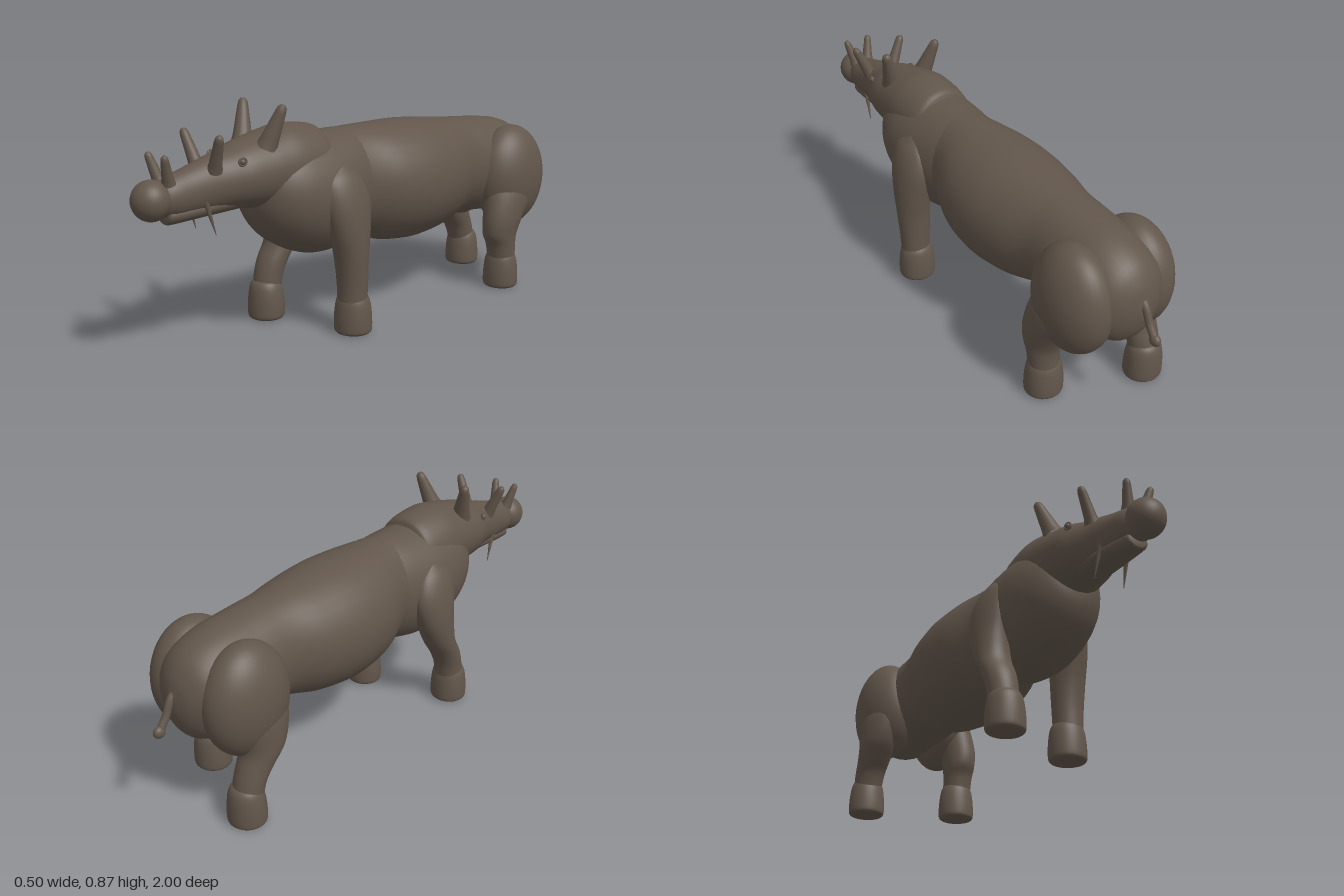
import * as THREE from 'three';

// Smooth skin through elliptical rings; sections are [cx, cy, cz, ru, rv] in rising order along the axis
function loft(sections, axis, steps = 5, sides = 36) {
  const centre = new THREE.CatmullRomCurve3(sections.map(s => new THREE.Vector3(s[0], s[1], s[2])), false, 'catmullrom');
  const radius = new THREE.CatmullRomCurve3(sections.map(s => new THREE.Vector3(s[3], s[4], 0)), false, 'catmullrom');
  const rings = (sections.length - 1) * steps;
  const pos = [], index = [];
  for (let i = 0; i <= rings; i++) {
    const c = centre.getPoint(i / rings), r = radius.getPoint(i / rings);
    for (let j = 0; j < sides; j++) {
      const a = j / sides * Math.PI * 2, u = r.x * Math.cos(a), v = r.y * Math.sin(a);
      if (axis === 'z') pos.push(c.x + u, c.y + v, c.z);
      else pos.push(c.x + u, c.y, c.z - v);
    }
  }
  for (let i = 0; i < rings; i++) for (let j = 0; j < sides; j++) {
    const k = (j + 1) % sides;
    const a = i * sides + j, b = i * sides + k, c = a + sides, d = b + sides;
    index.push(a, b, d, a, d, c);
  }
  // end caps
  const first = pos.length / 3, start = centre.getPoint(0), end = centre.getPoint(1);
  pos.push(start.x, start.y, start.z, end.x, end.y, end.z);
  for (let j = 0; j < sides; j++) {
    const k = (j + 1) % sides;
    index.push(first, k, j, first + 1, rings * sides + j, rings * sides + k);
  }
  const g = new THREE.BufferGeometry();
  g.setAttribute('position', new THREE.Float32BufferAttribute(pos, 3));
  g.setIndex(index);
  g.computeVertexNormals();
  return g;
}

// Body profile rows [z, top, bottom, half width]
const bodyLoft = rows => loft(rows.map(([z, t, b, w]) => [0, (t + b) / 2, z, w, (t - b) / 2]), 'z');
// Limb rows [y, z, rx, rz, x]
const limbLoft = (rows, side) => loft(rows.map(([y, z, rx, rz, x = 0.176]) => [side * x, y, z, rx, rz]), 'y');

export function createModel() {
  const model = new THREE.Group();
  const hide = new THREE.MeshStandardMaterial({ color: 0x62564b });
  hide.name = 'brown hide';
  const add = (name, geometry, x = 0, y = 0, z = 0) => {
    const mesh = new THREE.Mesh(geometry, hide);
    mesh.name = name;
    mesh.position.set(x, y, z);
    model.add(mesh);
    return mesh;
  };
  const ball = (name, x, y, z, rx, ry = rx, rz = rx) => {
    const mesh = add(name, new THREE.SphereGeometry(1, 36, 24), x, y, z);
    mesh.scale.set(rx, ry, rz);
    return mesh;
  };
  // Tapered horn with a rounded tip between two points
  const spike = (name, from, to, r0, r1) => {
    const a = new THREE.Vector3(...from), b = new THREE.Vector3(...to), len = a.distanceTo(b);
    const profile = [[r0 * 1.25, 0], [r0, len * 0.2], [r1 * 1.1, len - r1 * 1.6], [r1 * 0.9, len - r1 * 0.6], [r1 * 0.5, len - r1 * 0.1], [0, len]];
    const mesh = add(name, new THREE.LatheGeometry(profile.map(p => new THREE.Vector2(...p)), 20), ...from);
    mesh.quaternion.setFromUnitVectors(new THREE.Vector3(0, 1, 0), b.sub(a).normalize());
  };

  // Torso, chest and head
  add('torso', bodyLoft([
    [-0.92, 0.50, 0.44, 0.02], [-0.90, 0.57, 0.37, 0.08], [-0.85, 0.635, 0.31, 0.14], [-0.75, 0.68, 0.29, 0.165],
    [-0.6, 0.70, 0.30, 0.165], [-0.48, 0.71, 0.31, 0.167], [-0.35, 0.723, 0.275, 0.205], [-0.2, 0.736, 0.258, 0.226],
    [-0.05, 0.737, 0.275, 0.212], [0.08, 0.737, 0.32, 0.165], [0.2, 0.735, 0.34, 0.15]]));
  add('chest', bodyLoft([
    [0.03, 0.72, 0.34, 0.14], [0.1, 0.735, 0.31, 0.165], [0.2, 0.737, 0.285, 0.185], [0.3, 0.737, 0.287, 0.192],
    [0.4, 0.73, 0.325, 0.18], [0.48, 0.70, 0.38, 0.145], [0.53, 0.65, 0.45, 0.09], [0.545, 0.57, 0.52, 0.02]]));
  add('head', bodyLoft([
    [0.24, 0.735, 0.50, 0.11], [0.265, 0.766, 0.48, 0.135], [0.38, 0.782, 0.48, 0.145], [0.46, 0.770, 0.49, 0.14],
    [0.52, 0.757, 0.495, 0.133], [0.6, 0.737, 0.505, 0.121], [0.66, 0.715, 0.51, 0.098], [0.72, 0.70, 0.51, 0.079],
    [0.8, 0.675, 0.51, 0.067], [0.87, 0.655, 0.515, 0.06], [0.92, 0.63, 0.53, 0.04]]));
  add('lowerJaw', bodyLoft([
    [0.5, 0.58, 0.51, 0.06], [0.6, 0.58, 0.505, 0.066], [0.75, 0.57, 0.498, 0.058],
    [0.86, 0.56, 0.492, 0.046], [0.885, 0.555, 0.495, 0.038], [0.89, 0.54, 0.51, 0.015]]));
  ball('snout', 0, 0.583, 0.932, 0.068, 0.07, 0.068);

  // Paired head details and haunches
  for (const s of [1, -1]) {
    spike('rearHorn', [s * 0.07, 0.715, 0.51], [s * 0.116, 0.865, 0.468], 0.033, 0.018);
    spike('middleHorn', [s * 0.052, 0.66, 0.715], [s * 0.11, 0.787, 0.73], 0.023, 0.015);
    spike('noseHorn', [s * 0.028, 0.635, 0.88], [s * 0.052, 0.735, 0.908], 0.02, 0.013);
    spike('tusk', [s * 0.055, 0.565, 0.758], [s * 0.061, 0.44, 0.722], 0.009, 0.001);
    ball('eye', s * 0.095, 0.685, 0.63, 0.011);
    const lid = add('eyelid', new THREE.TorusGeometry(0.013, 0.004, 8, 20), s * 0.096, 0.685, 0.63);
    lid.rotation.set(0, s * 1.3, 0);
    ball('haunch', s * 0.132, 0.455, -0.712, 0.12, 0.212, 0.172);
  }

  // Legs in a walking pose, one row list per leg
  const legs = [
    ['leftFrontLeg', 1, 0.205, [[0.1, 0.21, 0.056, 0.054], [0.2, 0.21, 0.061, 0.056], [0.3, 0.215, 0.066, 0.065],
      [0.4, 0.222, 0.066, 0.085], [0.5, 0.23, 0.06, 0.1, 0.17], [0.58, 0.24, 0.042, 0.08, 0.16], [0.63, 0.24, 0.01, 0.02, 0.15]]],
    ['rightFrontLeg', -1, 0.34, [[0.1, 0.335, 0.056, 0.054], [0.17, 0.325, 0.058, 0.055], [0.23, 0.302, 0.062, 0.06],
      [0.3, 0.262, 0.066, 0.065], [0.4, 0.235, 0.066, 0.085], [0.5, 0.23, 0.06, 0.1, 0.17], [0.58, 0.24, 0.042, 0.08, 0.16], [0.63, 0.24, 0.01, 0.02, 0.15]]],
    ['leftHindLeg', 1, -0.628, [[0.1, -0.63, 0.056, 0.055], [0.18, -0.622, 0.06, 0.062], [0.23, -0.615, 0.064, 0.078],
      [0.3, -0.632, 0.072, 0.095], [0.4, -0.68, 0.078, 0.12, 0.165], [0.5, -0.7, 0.06, 0.1, 0.15]]],
    ['rightHindLeg', -1, -0.77, [[0.1, -0.768, 0.056, 0.055], [0.17, -0.748, 0.06, 0.06], [0.22, -0.72, 0.064, 0.072],
      [0.29, -0.685, 0.072, 0.09], [0.4, -0.69, 0.078, 0.12, 0.165], [0.5, -0.7, 0.06, 0.1, 0.15]]]];
  for (const [name, side, footZ, rows] of legs) {
    add(name, limbLoft(rows, side));
    const foot = [[0, 0.058], [0.004, 0.067], [0.018, 0.073], [0.07, 0.072], [0.12, 0.065], [0.145, 0.052], [0.155, 0.03]];
    add(name.replace('Leg', 'Foot'), limbLoft(foot.map(([y, r]) => [y, footZ, r, r * 0.95, 0.174]), side));
  }

  // Tail with a rounded tuft
  const tailPath = new THREE.CatmullRomCurve3([[0.53, -0.88], [0.49, -0.92], [0.435, -0.945], [0.395, -0.972]]
    .map(([y, z]) => new THREE.Vector3(0, y, z)));
  add('tail', new THREE.TubeGeometry(tailPath, 20, 0.014, 14));
  ball('tailTuft', 0, 0.388, -0.977, 0.017, 0.022, 0.023);

  return model;
}
